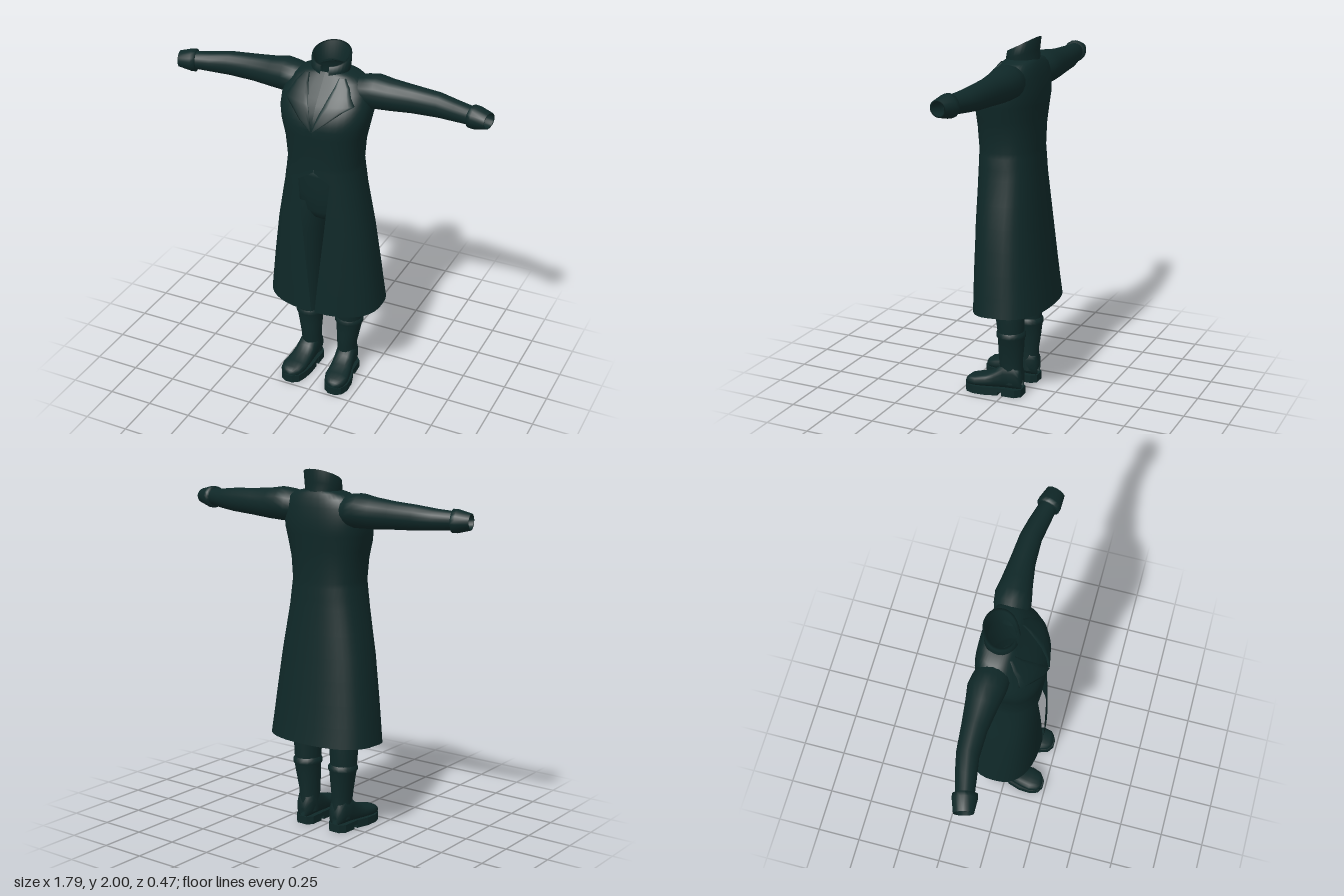
import * as THREE from 'three';

const cloth = new THREE.MeshStandardMaterial({ color: 0x0f2828, side: THREE.DoubleSide });
cloth.name = 'dark teal cloth';

// Piecewise linear lookup in rows sorted by their first value
function lookup(rows, t) {
  let i = 0;
  while (i < rows.length - 2 && t > rows[i + 1][0]) i++;
  const a = rows[i], b = rows[i + 1];
  const k = THREE.MathUtils.clamp((t - a[0]) / (b[0] - a[0]), 0, 1);
  return a.map((v, n) => v + (b[n] - v) * k);
}

// Skin a list of rings of [x, y, z] points
function loft(name, rings, closed = true) {
  const n = rings[0].length, index = [];
  for (let i = 0; i < rings.length - 1; i++) {
    for (let j = 0; j < (closed ? n : n - 1); j++) {
      const k = (j + 1) % n, a = i * n, b = a + n;
      index.push(a + j, a + k, b + k, a + j, b + k, b + j);
    }
  }
  const g = new THREE.BufferGeometry();
  g.setAttribute('position', new THREE.Float32BufferAttribute(rings.flat(2), 3));
  g.setIndex(index);
  g.computeVertexNormals();
  const mesh = new THREE.Mesh(g, cloth);
  mesh.name = name;
  return mesh;
}

function ring(n, point) {
  return Array.from({ length: n }, (_, j) => point((j / n) * Math.PI * 2));
}

const POWER = 0.82;
const bend = (v) => Math.sign(v) * Math.abs(v) ** POWER;

// Coat outline: height, half width, front z, back z
const COAT = [
  [0.51, 0.33, 0.19, -0.23], [0.75, 0.303, 0.187, -0.203], [1.0, 0.27, 0.183, -0.178],
  [1.25, 0.225, 0.178, -0.157], [1.4, 0.205, 0.175, -0.15], [1.52, 0.215, 0.182, -0.153],
  [1.62, 0.238, 0.19, -0.162], [1.68, 0.25, 0.176, -0.168], [1.74, 0.25, 0.145, -0.167],
  [1.8, 0.235, 0.098, -0.16], [1.845, 0.205, 0.06, -0.15], [1.872, 0.16, 0.04, -0.14],
  [1.885, 0.1, 0.028, -0.13],
];
// Half width of the front opening
const OPENING = [[0.51, 0.01], [1.0, 0.062], [1.31, 0.092], [1.37, 0.0]];

function coat() {
  const heights = [...COAT.map((r) => r[0]), 0.63, 0.88, 1.12, 1.31, 1.34, 1.369, 1.46, 1.57, 1.65, 1.71, 1.77, 1.82];
  heights.sort((a, b) => a - b);
  const N = 40;
  const rings = heights.map((y) => {
    const [, w, zf, zb] = lookup(COAT, y);
    const start = Math.asin((lookup(OPENING, y)[1] / w) ** (1 / POWER));
    return Array.from({ length: N + 1 }, (_, j) => {
      const a = start + (j / N) * (Math.PI * 2 - 2 * start);
      const dip = y < 0.52 ? 0.01 - 0.025 * Math.max(0, Math.cos(a)) : 0;
      return [w * bend(Math.sin(a)), y + dip, (zf + zb) / 2 + ((zf - zb) / 2) * bend(Math.cos(a))];
    });
  });
  return loft('coat', rings, false);
}

// Depth of the coat front at a given spot
function frontZ(x, y) {
  const [, w, zf, zb] = lookup(COAT, y);
  const k = Math.min(1, Math.abs(x / w)) ** (2 / POWER);
  return (zf + zb) / 2 + ((zf - zb) / 2) * (1 - k) ** (POWER / 2);
}

// Lapel lying on the chest: height, inner x, outer x, outer rise
function lapel() {
  const rows = [[1.615, 0.002, 0.006, 0], [1.66, 0.014, 0.075, 0.01], [1.71, 0.03, 0.15, 0.02],
    [1.745, 0.045, 0.195, 0.01], [1.79, 0.06, 0.17, 0], [1.83, 0.075, 0.15, 0], [1.87, 0.085, 0.115, 0]];
  const rings = rows.map(([y, inner, outer, rise]) => {
    const pts = [];
    for (let j = 0; j <= 6; j++) {
      const k = j / 6, x = inner + (outer - inner) * k, h = y + rise * k;
      pts.push([x, h, frontZ(x, h) + 0.01]);
    }
    // fold the outer edge down onto the coat
    pts.push([outer, y + rise, frontZ(outer, y + rise) - 0.004]);
    pts.unshift([inner, y, frontZ(inner, y) - 0.004]);
    return pts;
  });
  return loft('lapel', rings, false);
}

// Standing collar, high at the back and open at the front
function collar() {
  const N = 28, gap = 0.22;
  const layer = (rx, front, back, yFront, yBack) => Array.from({ length: N + 1 }, (_, j) => {
    const a = gap + (j / N) * (Math.PI * 2 - 2 * gap), k = (1 - Math.cos(a)) / 2;
    return [rx * Math.sin(a), yFront + (yBack - yFront) * k, front + (back - front) * k];
  });
  return loft('collar', [
    layer(0.1, 0.045, -0.135, 1.845, 1.88),
    layer(0.108, 0.04, -0.132, 1.885, 1.93),
    layer(0.108, 0.034, -0.14, 1.915, 2.0),
    layer(0.094, 0.022, -0.126, 1.915, 1.997),
    layer(0.085, 0.02, -0.115, 1.86, 1.9),
  ], false);
}

// Tube along x; rows: x, centre y, radius y, centre z, radius z
function armTube(name, rows, slant = 0) {
  return loft(name, rows.map(([x, cy, ry, cz, rz]) => ring(18, (a) =>
    [x - slant * Math.sin(a) * rz, cy + ry * Math.cos(a), cz + rz * Math.sin(a)])));
}

// Tube along y; rows: y, centre x, radius x, centre z, radius z
function legTube(name, rows) {
  return loft(name, rows.map(([y, cx, rx, cz, rz]) => ring(20, (a) =>
    [cx + rx * Math.sin(a), y, cz + rz * Math.cos(a)])));
}

// Foot upper; rows: z, top height, half width, centre x
function footUpper() {
  const rows = [[-0.096, 0.09, 0.015, 0.112], [-0.09, 0.16, 0.042, 0.112], [-0.06, 0.2, 0.055, 0.113],
    [0.0, 0.19, 0.058, 0.116], [0.05, 0.145, 0.06, 0.121], [0.1, 0.115, 0.065, 0.127],
    [0.16, 0.1, 0.07, 0.133], [0.205, 0.09, 0.058, 0.137], [0.224, 0.075, 0.035, 0.139], [0.228, 0.05, 0.004, 0.139]];
  return loft('bootFoot', rows.map(([z, top, w, cx]) => ring(18, (a) =>
    [cx - w * bend(Math.sin(a)), 0.035 + (top - 0.035) * Math.max(0, 0.5 + 0.5 * bend(Math.cos(a))), z])));
}

// Flat sole pieces cut from one outline
function solePiece(name, points, y, height) {
  const shape = new THREE.Shape(points.map(([x, z]) => new THREE.Vector2(x, -z)));
  const g = new THREE.ExtrudeGeometry(shape, { depth: height, bevelEnabled: false });
  g.rotateX(-Math.PI / 2);
  g.translate(0, y, 0);
  const mesh = new THREE.Mesh(g, cloth);
  mesh.name = name;
  return mesh;
}

function side(name, mirror) {
  const g = new THREE.Group();
  g.name = name;
  g.add(lapel());
  g.add(armTube('sleeve', [
    [0.13, 1.785, 0.075, -0.045, 0.08], [0.2, 1.787, 0.09, -0.05, 0.096], [0.26, 1.792, 0.092, -0.058, 0.096],
    [0.34, 1.787, 0.084, -0.06, 0.082], [0.46, 1.786, 0.074, -0.062, 0.066], [0.6, 1.785, 0.066, -0.057, 0.058],
    [0.7, 1.782, 0.056, -0.038, 0.055], [0.82, 1.782, 0.046, -0.012, 0.046]]));
  g.add(armTube('cuff', [
    [0.79, 1.781, 0.044, -0.018, 0.044], [0.792, 1.781, 0.061, -0.017, 0.061], [0.815, 1.781, 0.061, -0.012, 0.061],
    [0.885, 1.781, 0.043, 0.001, 0.049], [0.884, 1.781, 0.035, 0.001, 0.04], [0.82, 1.781, 0.042, -0.011, 0.042]], 0.25));
  g.add(legTube('trouserLeg', [
    [0.36, 0.123, 0.073, -0.03, 0.073], [0.5, 0.125, 0.079, -0.025, 0.085], [0.75, 0.115, 0.086, -0.01, 0.095],
    [0.95, 0.1, 0.09, 0.0, 0.11], [1.06, 0.095, 0.094, 0.0, 0.118], [1.15, 0.09, 0.09, 0.0, 0.115]]));
  g.add(legTube('bootShaft', [
    [0.07, 0.112, 0.056, -0.035, 0.057], [0.13, 0.112, 0.054, -0.03, 0.064], [0.2, 0.113, 0.055, -0.026, 0.068],
    [0.28, 0.118, 0.066, -0.03, 0.073], [0.34, 0.122, 0.074, -0.032, 0.076], [0.352, 0.122, 0.082, -0.032, 0.082],
    [0.37, 0.122, 0.082, -0.032, 0.082], [0.385, 0.122, 0.072, -0.03, 0.072]]));
  g.add(footUpper());
  const heel = [[0.055, 0.005], [0.055, -0.07], [0.08, -0.1], [0.145, -0.1], [0.172, -0.07], [0.176, 0.005]];
  const toe = [[0.056, 0.03], [0.178, 0.03], [0.2, 0.1], [0.204, 0.17], [0.188, 0.215], [0.155, 0.235],
    [0.115, 0.235], [0.08, 0.21], [0.064, 0.16], [0.055, 0.1]];
  g.add(solePiece('heel', heel, 0, 0.045));
  g.add(solePiece('toeSole', toe, 0, 0.045));
  g.add(solePiece('arch', [[0.058, -0.01], [0.174, -0.01], [0.178, 0.04], [0.057, 0.04]], 0.02, 0.025));
  if (mirror) g.scale.x = -1;
  return g;
}

export function createModel() {
  const model = new THREE.Group();
  model.name = 'longCoatOutfit';
  model.add(coat(), collar());
  // Trouser hips seen through the coat opening
  model.add(legTube('trouserHips', [
    [1.02, 0, 0.02, 0, 0.05], [1.05, 0, 0.1, 0, 0.095], [1.1, 0, 0.17, 0, 0.122], [1.2, 0, 0.182, 0.005, 0.128],
    [1.32, 0, 0.175, 0.01, 0.13], [1.42, 0, 0.17, 0.01, 0.125], [1.42, 0, 0.001, 0.01, 0.001]]));
  model.add(side('leftSide', false), side('rightSide', true));
  return model;
}
